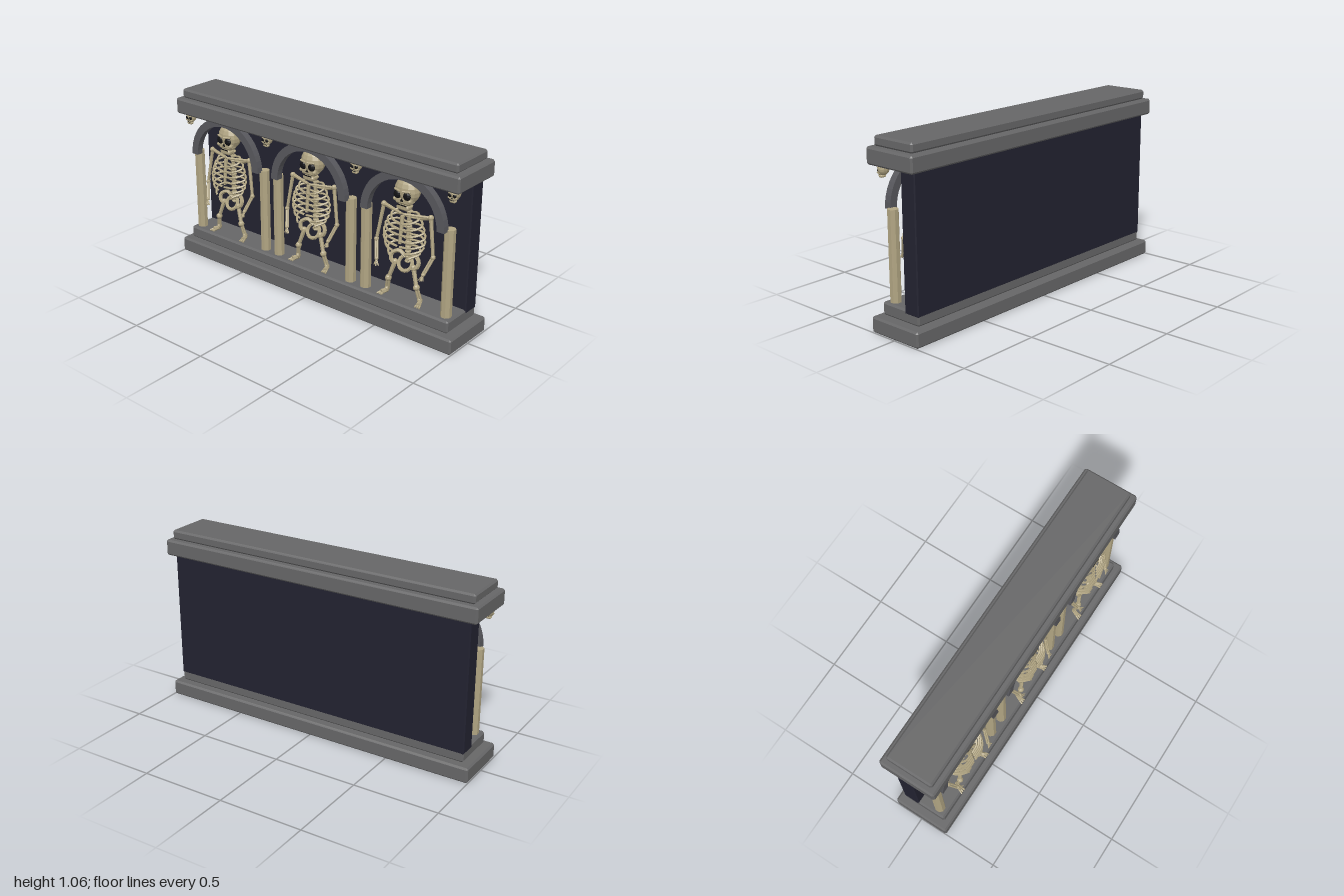
import * as THREE from 'three';
import { ConvexGeometry } from 'three/addons/geometries/ConvexGeometry.js';

const mat = (name, color) => new THREE.MeshStandardMaterial({ name, color, flatShading: true });
const V = (x, y, z) => new THREE.Vector3(x, y, z);

export function createModel() {
  const stone = mat('stone', 0x666667);
  const archStone = mat('arch stone', 0x57575c);
  const wallDark = mat('dark wall', 0x222230);
  const bone = mat('bone', 0xb0a482);
  const socket = mat('eye socket', 0x121214);

  const add = (parent, name, geo, material, x = 0, y = 0, z = 0) => {
    const m = new THREE.Mesh(geo, material);
    m.name = name;
    m.position.set(x, y, z);
    parent.add(m);
    return m;
  };

  // Box with all edges chamfered
  const slab = (w, h, d, b) => {
    const pts = [];
    for (const sx of [-1, 1]) for (const sy of [-1, 1]) for (const sz of [-1, 1]) {
      const X = w / 2, Y = h / 2, Z = d / 2;
      pts.push(V(sx * X, sy * (Y - b), sz * (Z - b)),
        V(sx * (X - b), sy * Y, sz * (Z - b)),
        V(sx * (X - b), sy * (Y - b), sz * Z));
    }
    return new ConvexGeometry(pts);
  };

  // Straight bone between two points
  const stick = (parent, name, a, b, r0, r1 = r0, sides = 6) => {
    const dir = b.clone().sub(a);
    const m = add(parent, name, new THREE.CylinderGeometry(r1, r0, dir.length(), sides), bone);
    m.position.copy(a).add(b).multiplyScalar(0.5);
    m.quaternion.setFromUnitVectors(V(0, 1, 0), dir.normalize());
    return m;
  };
  const joint = (parent, name, p, r) =>
    add(parent, name, new THREE.SphereGeometry(r, 8, 6), bone, p.x, p.y, p.z);
  const tube = (parent, name, pts, r, seg = 10) =>
    add(parent, name, new THREE.TubeGeometry(new THREE.CatmullRomCurve3(pts), seg, r, 5), bone);

  // Skull about its own centre, facing +z
  const makeSkull = () => {
    const g = new THREE.Group();
    g.name = 'skull';
    add(g, 'cranium', new THREE.SphereGeometry(1, 12, 10), bone, 0, 0.008, 0).scale.set(0.074, 0.075, 0.058);
    add(g, 'cheeks', slab(0.1, 0.045, 0.06, 0.012), bone, 0, -0.04, 0.022);
    add(g, 'jaw', slab(0.072, 0.03, 0.055, 0.01), bone, 0, -0.08, 0.024);
    for (const s of [-1, 1]) {
      add(g, 'eyeSocket', new THREE.SphereGeometry(1, 10, 6), socket, s * 0.03, -0.008, 0.05).scale.set(0.024, 0.023, 0.012);
      stick(g, 'brow', V(s * 0.006, 0.016, 0.06), V(s * 0.05, 0.018, 0.047), 0.006);
      joint(g, 'cheekbone', V(s * 0.046, -0.036, 0.046), 0.012);
    }
    const nose = add(g, 'nose', new THREE.CylinderGeometry(0.011, 0.011, 0.008, 3), socket, 0, -0.036, 0.052);
    nose.rotation.set(Math.PI / 2, Math.PI, 0);
    add(g, 'mouth', new THREE.BoxGeometry(0.056, 0.004, 0.006), socket, 0, -0.064, 0.051);
    for (let i = -2; i <= 2; i++)
      add(g, 'tooth', new THREE.BoxGeometry(0.009, 0.014, 0.006), bone, i * 0.012, -0.073, 0.052);
    return g;
  };

  const makeSkeleton = () => {
    const g = new THREE.Group();
    g.name = 'skeleton';
    const skull = makeSkull();
    skull.position.set(0, 0.81, 0.085);
    g.add(skull);

    // Spine and breastbone
    stick(g, 'spine', V(0, 0.4, 0.065), V(0, 0.74, 0.068), 0.011);
    for (let i = 0; i < 12; i++) {
      const v = add(g, 'vertebra', new THREE.SphereGeometry(1, 8, 6), bone, 0, 0.4 + i * 0.029, 0.063);
      v.scale.set(0.019, 0.01, 0.018);
    }
    stick(g, 'breastbone', V(0, 0.53, 0.143), V(0, 0.685, 0.125), 0.009, 0.012);

    // Lower pelvic ring
    const ring = add(g, 'pelvicRing', new THREE.TorusGeometry(0.042, 0.011, 6, 14), bone, 0, 0.395, 0.085);
    ring.rotation.x = -0.5;

    for (const s of [-1, 1]) {
      // Ribs sweep out from the spine, then forward and down
      for (let i = 0; i < 7; i++) {
        const y = 0.69 - i * 0.032;
        const w = [0.085, 0.108, 0.122, 0.13, 0.13, 0.12, 0.1][i];
        const open = i > 4 ? 0.02 + (i - 4) * 0.018 : 0.006;
        const zf = 0.138 + Math.min(i, 3) * 0.004;
        tube(g, 'rib', [V(s * 0.008, y, 0.065), V(s * w * 0.65, y + 0.004, 0.065),
          V(s * w, y - 0.014, 0.1), V(s * w * 0.65, y - 0.034, zf), V(s * open, y - 0.045, zf + 0.004)], 0.0065, 12);
      }
      // Shoulder and arm
      const sh = V(s * 0.15, 0.7, 0.085), el = V(s * 0.183, 0.49, 0.1), wr = V(s * 0.152, 0.395, 0.14);
      stick(g, 'collarbone', V(s * 0.01, 0.692, 0.12), sh, 0.008);
      stick(g, 'shoulderBlade', V(s * 0.06, 0.66, 0.06), sh, 0.009, 0.012);
      joint(g, 'shoulder', sh, 0.016);
      stick(g, 'upperArm', sh, el, 0.011, 0.009);
      joint(g, 'elbow', el, 0.014);
      for (const o of [-0.006, 0.006])
        stick(g, 'forearm', V(el.x + o, el.y, el.z), V(wr.x + o, wr.y, wr.z), 0.006);
      joint(g, 'wrist', wr, 0.011);
      for (let i = -1; i <= 2; i++)
        stick(g, 'finger', wr, V(wr.x - s * 0.008 + i * 0.01, 0.36 + Math.abs(i) * 0.004, 0.157), 0.004, 0.003, 5);

      // Hip wing
      tube(g, 'hipWing', [V(s * 0.012, 0.425, 0.07), V(s * 0.05, 0.452, 0.075), V(s * 0.088, 0.43, 0.09),
        V(s * 0.08, 0.395, 0.1), V(s * 0.045, 0.385, 0.1)], 0.012, 12);

      // Leg
      const hip = V(s * 0.06, 0.39, 0.095), kn = V(s * 0.092, 0.288, 0.108), an = V(s * 0.108, 0.212, 0.095);
      joint(g, 'hipJoint', hip, 0.017);
      stick(g, 'thigh', hip, kn, 0.013, 0.011);
      joint(g, 'knee', kn, 0.019);
      for (const o of [-0.008, 0.008])
        stick(g, 'shin', V(kn.x + o, kn.y, kn.z), V(an.x + o, an.y, an.z), 0.007);
      joint(g, 'ankle', an, 0.015);
      stick(g, 'foot', V(an.x, 0.203, 0.09), V(s * 0.122, 0.2, 0.13), 0.012, 0.015);
      for (let i = -1; i <= 1; i++)
        stick(g, 'toe', V(s * 0.12 + i * 0.008, 0.2, 0.12), V(s * 0.125 + i * 0.014, 0.194, 0.147), 0.006, 0.005, 5);
    }
    return g;
  };

  const model = new THREE.Group();
  model.name = 'ossuaryWall';

  // Plinth, cornice and back wall
  add(model, 'base', slab(2, 0.09, 0.345, 0.01), stone, 0, 0.045, 0);
  add(model, 'baseStep', slab(1.905, 0.073, 0.27, 0.01), stone, 0, 0.1315, 0);
  add(model, 'cornice', slab(2, 0.094, 0.335, 0.01), stone, 0, 0.953, 0);
  add(model, 'capstone', slab(1.94, 0.055, 0.278, 0.01), stone, 0, 1.0285, 0);
  add(model, 'backWall', slab(1.91, 0.775, 0.1, 0.006), wallDark, 0, 0.5325, -0.086);

  // Half-ring arch profile
  const arch = new THREE.Shape();
  arch.absarc(0, 0, 0.268, 0, Math.PI, false);
  arch.absarc(0, 0, 0.222, Math.PI, 0, true);
  const archGeo = new THREE.ExtrudeGeometry(arch, { depth: 0.04, bevelEnabled: false, curveSegments: 12 });
  const columnGeo = new THREE.CylinderGeometry(0.031, 0.031, 0.51, 8);

  // Three bays, each with two columns, an arch and a skeleton
  for (const x of [-0.64, 0, 0.64]) {
    const bay = new THREE.Group();
    bay.name = 'bay';
    bay.position.x = x;
    for (const s of [-1, 1]) add(bay, 'column', columnGeo, bone, s * 0.267, 0.417, 0.081).rotation.y = Math.PI / 8;
    add(bay, 'arch', archGeo, archStone, 0, 0.663, 0.1);
    bay.add(makeSkeleton());
    model.add(bay);
  }

  // Small skulls between the arches
  for (const x of [-0.937, -0.32, 0.32, 0.937]) {
    const s = makeSkull();
    s.name = 'cornerSkull';
    s.scale.setScalar(0.46);
    s.position.set(x, 0.881, 0.105);
    model.add(s);
  }
  return model;
}
